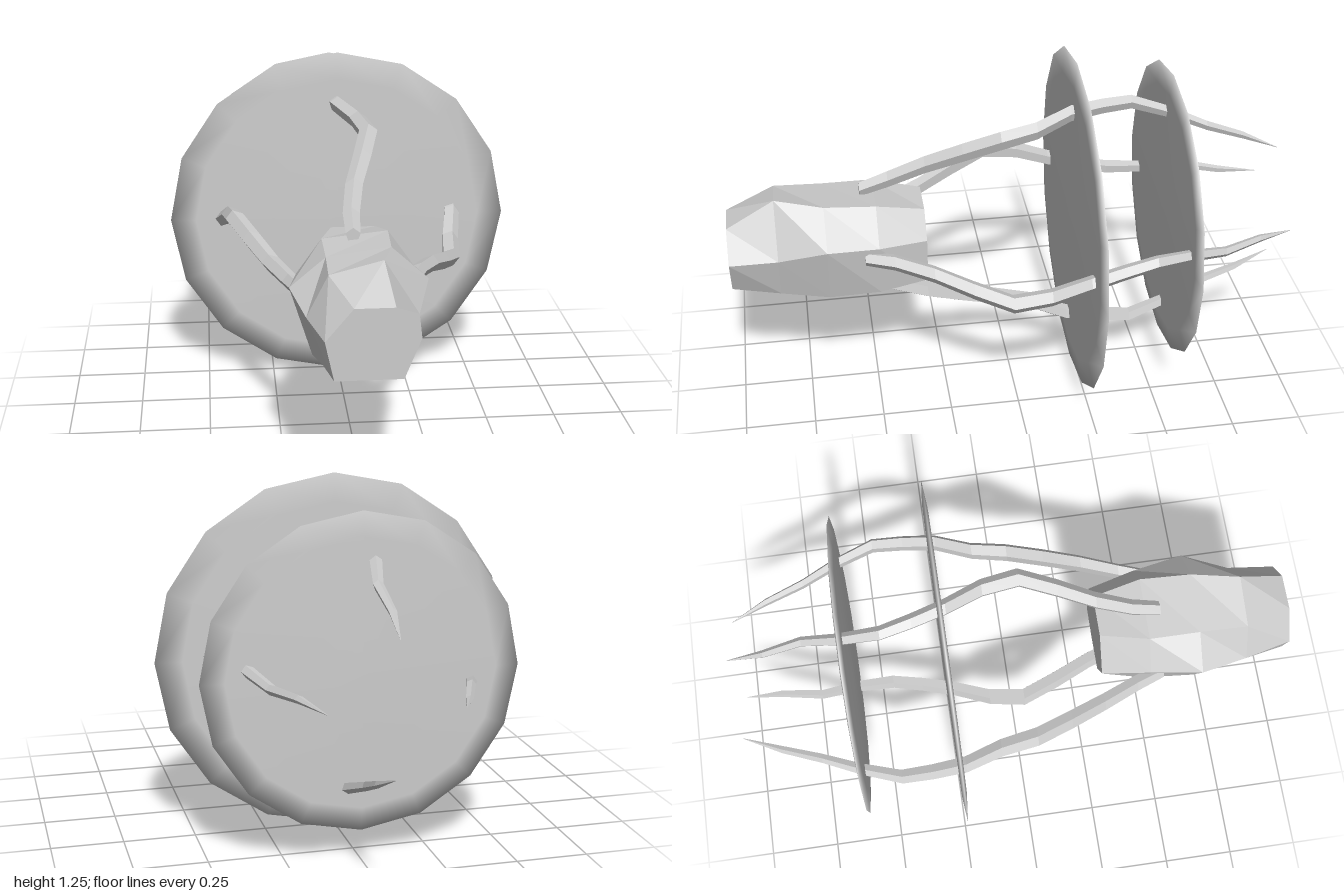
import * as THREE from 'three';

const CENTER_Y = 0.635;

// Faceted skin over rings of [x, y, z], listed front to back, each counterclockwise seen from +z
function loft(rings) {
  const pos = [];
  const n = rings[0].length;
  const tri = (a, b, c) => pos.push(...a, ...b, ...c);
  const middle = ring => [0, 1, 2].map(k => ring.reduce((s, p) => s + p[k], 0) / n);
  const first = rings[0], last = rings[rings.length - 1];
  const front = middle(first), back = middle(last);
  for (let i = 0; i < n; i++) {
    const j = (i + 1) % n;
    tri(front, first[i], first[j]);
    tri(back, last[j], last[i]);
    for (let r = 0; r < rings.length - 1; r++) {
      const a = rings[r], b = rings[r + 1];
      tri(a[i], b[i], a[j]);
      tri(a[j], b[i], b[j]);
    }
  }
  const g = new THREE.BufferGeometry();
  g.setAttribute('position', new THREE.Float32BufferAttribute(pos, 3));
  g.computeVertexNormals();
  return g;
}

// Irregular head: z, then x/y corners from top left, clockwise
function headGeometry() {
  const sections = [
    [1.0, [-.057, .747], [.07, .747], [.15, .645], [.097, .513], [.0, .513], [-.117, .513], [-.145, .642]],
    [.83, [-.12, .793], [.053, .837], [.165, .655], [.125, .495], [.02, .49], [-.14, .495], [-.19, .655]],
    [.66, [-.115, .79], [.095, .818], [.217, .707], [.165, .488], [.03, .418], [-.16, .455], [-.233, .69]],
    [.48, [-.115, .79], [.105, .812], [.19, .69], [.162, .49], [.03, .435], [-.15, .47], [-.2, .67]],
    [.31, [-.07, .77], [.08, .77], [.148, .68], [.14, .51], [.03, .495], [-.1, .5], [-.165, .63]],
  ];
  return loft(sections.map(([z, ...pts]) => pts.reverse().map(([x, y]) => [x, y, z])));
}

// Wavy arm reaching back, pointed at the tip: z, distance out, sideways sway, thickness
function armGeometry() {
  const path = [
    [.53, .18, -.015, .026], [.43, .215, -.012, .03], [.3, .275, .01, .032], [.17, .335, .05, .034],
    [.04, .39, .085, .034], [-.09, .405, .06, .032], [-.22, .43, .0, .03], [-.34, .43, -.035, .028],
    [-.45, .425, -.06, .026], [-.59, .38, -.045, .022], [-.72, .33, -.015, .018],
    [-.86, .275, -.02, .014], [-.99, .22, -.005, .001],
  ];
  const sides = 5;
  return loft(path.map(([z, out, sway, r]) => Array.from({ length: sides }, (_, i) => {
    const a = i / sides * Math.PI * 2 + 0.3;
    return [sway + Math.cos(a) * r, out + Math.sin(a) * r, z];
  })));
}

// Thin sixteen-sided lens standing upright
function discGeometry(radius) {
  const profile = [[0, -.012], [radius * .85, -.009], [radius, 0], [radius * .85, .009], [0, .012]];
  const g = new THREE.LatheGeometry(profile.map(([x, y]) => new THREE.Vector2(x, y)), 16);
  return g.rotateX(Math.PI / 2);
}

export function createModel() {
  const group = new THREE.Group();
  const gray = new THREE.MeshStandardMaterial({ color: 0xcccccc });
  gray.name = 'light gray';

  const add = (name, geometry, x = 0, y = 0, z = 0) => {
    const mesh = new THREE.Mesh(geometry, gray);
    mesh.name = name;
    mesh.position.set(x, y, z);
    group.add(mesh);
    return mesh;
  };

  add('head', headGeometry());

  // Four arms, a quarter turn apart
  const arm = armGeometry();
  ['topArm', 'leftArm', 'bottomArm', 'rightArm'].forEach((name, i) => {
    add(name, arm, 0, CENTER_Y).rotation.z = -i * Math.PI / 2;
  });

  // Two discs pierced by the arms
  add('largeDisc', discGeometry(.626), 0, .628, -.24);
  add('smallDisc', discGeometry(.54), -.005, .64, -.585);
  return group;
}
